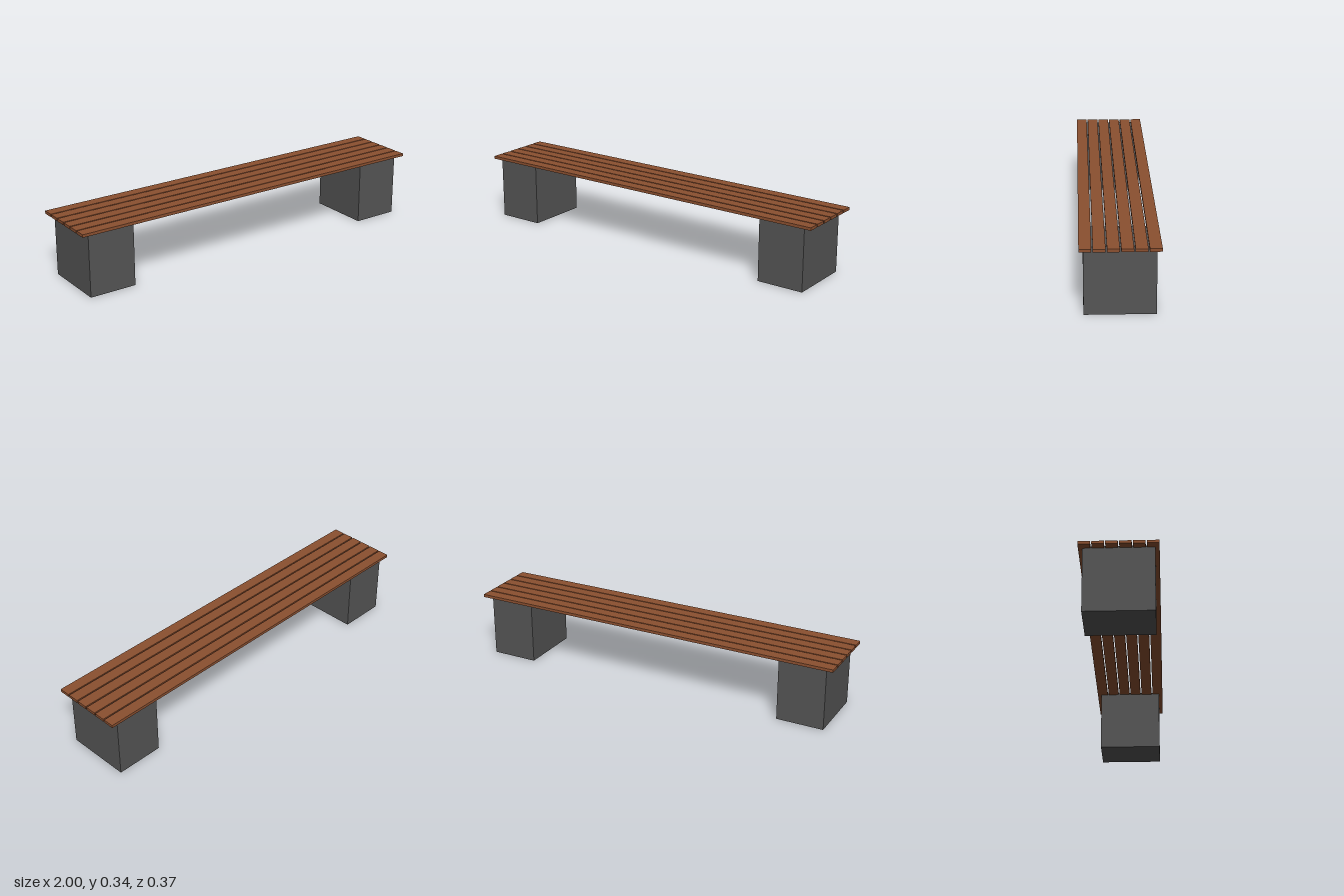
import * as THREE from 'three';

export function createModel() {
  const bench = new THREE.Group();
  bench.name = 'bench';
  const wood = new THREE.MeshStandardMaterial({ color: 0x8b5030 });
  const concrete = new THREE.MeshStandardMaterial({ color: 0x555555 });

  function box(name, size, position, material) {
    const mesh = new THREE.Mesh(new THREE.BoxGeometry(...size), material);
    mesh.name = name;
    mesh.position.set(...position);
    bench.add(mesh);
  }

  // Two solid block legs, reaching slightly up between the slats
  const legHeight = 0.334;
  box('rightLeg', [0.246, legHeight, 0.334], [-0.838, legHeight / 2, 0], concrete);
  box('leftLeg', [0.246, legHeight, 0.334], [0.832, legHeight / 2, 0], concrete);

  // Six seat slats with narrow gaps
  const slatCount = 6, pitch = 0.0634;
  for (let i = 0; i < slatCount; i++) {
    const z = (i - (slatCount - 1) / 2) * pitch;
    box(`seatSlat${i + 1}`, [2, 0.015, 0.057], [0, 0.3325, z], wood);
  }
  return bench;
}
